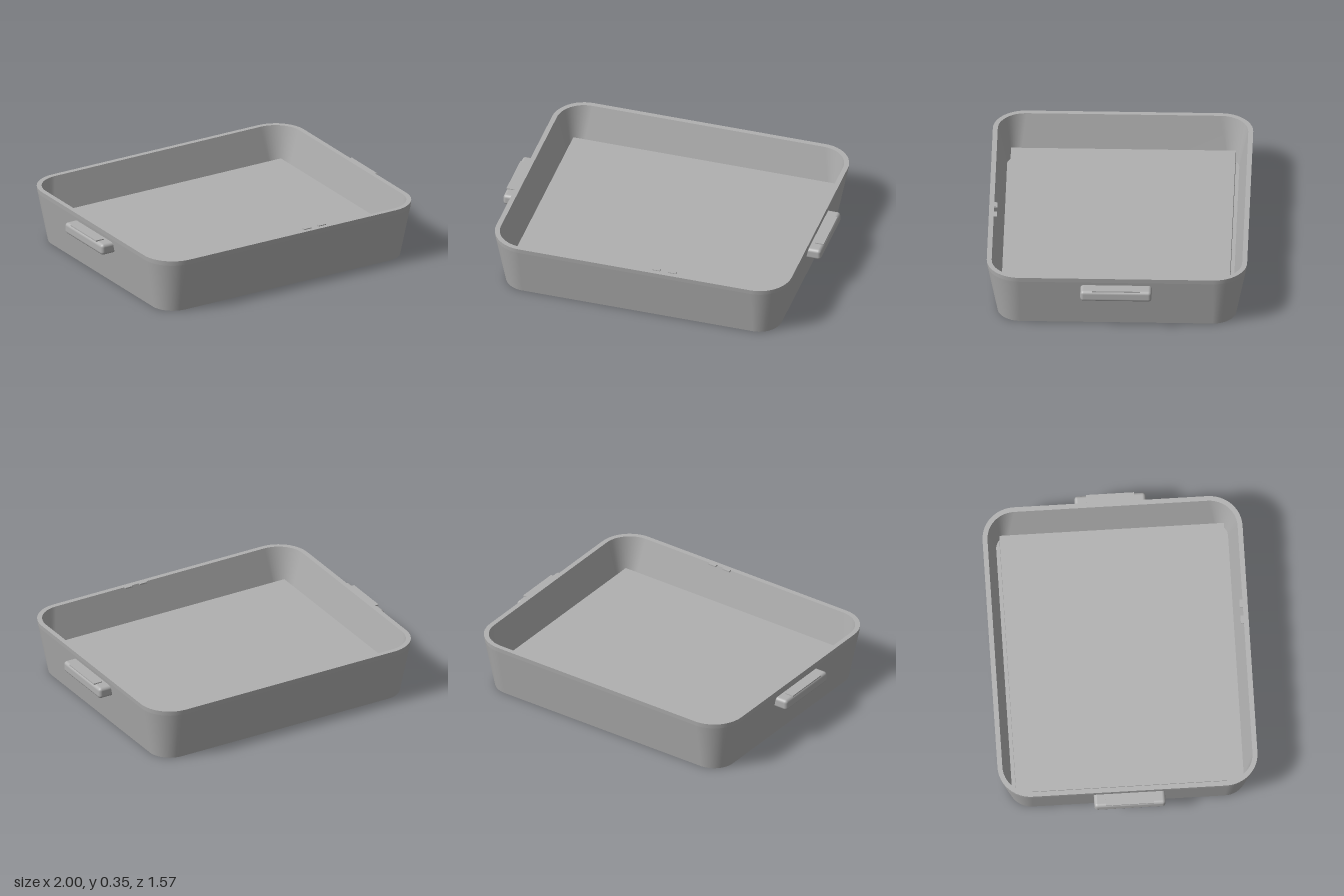
import * as THREE from 'three';
import { RoundedBoxGeometry } from 'three/addons/geometries/RoundedBoxGeometry.js';
import { mergeGeometries } from 'three/addons/utils/BufferGeometryUtils.js';

const ARC = 12; // segments per rounded corner

// Outline of a rounded rectangle at height y, given half sizes and corner radius
function ring([hx, hz, r, y]) {
  const points = [];
  for (let q = 0; q < 4; q++) {
    const sx = q === 0 || q === 3 ? 1 : -1;
    const sz = q < 2 ? 1 : -1;
    for (let i = 0; i <= ARC; i++) {
      const a = (q + i / ARC) * Math.PI / 2;
      points.push(sx * (hx - r) + r * Math.cos(a), y, sz * (hz - r) + r * Math.sin(a));
    }
  }
  return points;
}

// Smooth band between two outlines; separate bands keep the edges crisp
function band(lower, upper) {
  const a = ring(lower), b = ring(upper), n = a.length / 3, index = [];
  for (let i = 0; i < n; i++) {
    const j = (i + 1) % n;
    index.push(i, n + i, j, j, n + i, n + j);
  }
  const g = new THREE.BufferGeometry();
  g.setAttribute('position', new THREE.Float32BufferAttribute([...a, ...b], 3));
  g.setIndex(index);
  g.computeVertexNormals();
  return g;
}

export function createModel() {
  const group = new THREE.Group();
  const grey = new THREE.MeshStandardMaterial({ color: 0xb0b0b0 });
  grey.name = 'grey';

  function add(name, geometry, x = 0, y = 0, z = 0) {
    const mesh = new THREE.Mesh(geometry, grey);
    mesh.name = name;
    mesh.position.set(x, y, z);
    group.add(mesh);
  }

  // Tray shell: underside, flared wall, rim, inner wall, inner bottom
  const profile = [
    [0, 0, 0, 0],
    [0.865, 0.72, 0.14, 0],
    [0.926, 0.781, 0.195, 0.32],
    [0.93, 0.785, 0.2, 0.35],
    [0.9, 0.755, 0.17, 0.35],
    [0.85, 0.7, 0.08, 0.07],
    [0, 0, 0, 0.07],
  ];
  const bands = [];
  for (let i = 0; i < profile.length - 1; i++) bands.push(band(profile[i], profile[i + 1]));
  add('trayShell', mergeGeometries(bands));

  // Raised floor plate
  add('floorPlate', new THREE.BoxGeometry(1.65, 0.08, 1.355), 0, 0.11, 0);

  // Side handles with thin grip pads on top
  for (const [side, s] of [['left', 1], ['right', -1]]) {
    add(side + 'Handle', new RoundedBoxGeometry(0.11, 0.07, 0.43, 3, 0.02), s * 0.945, 0.265, 0);
    add(side + 'GripPad', new THREE.BoxGeometry(0.055, 0.008, 0.29), s * 0.9705, 0.302, 0);
  }

  // Two small marks on the front rim
  for (const x of [0.126, 0.228]) {
    add('rimMark', new THREE.BoxGeometry(0.05, 0.008, 0.02), x, 0.351, 0.746);
  }
  return group;
}
